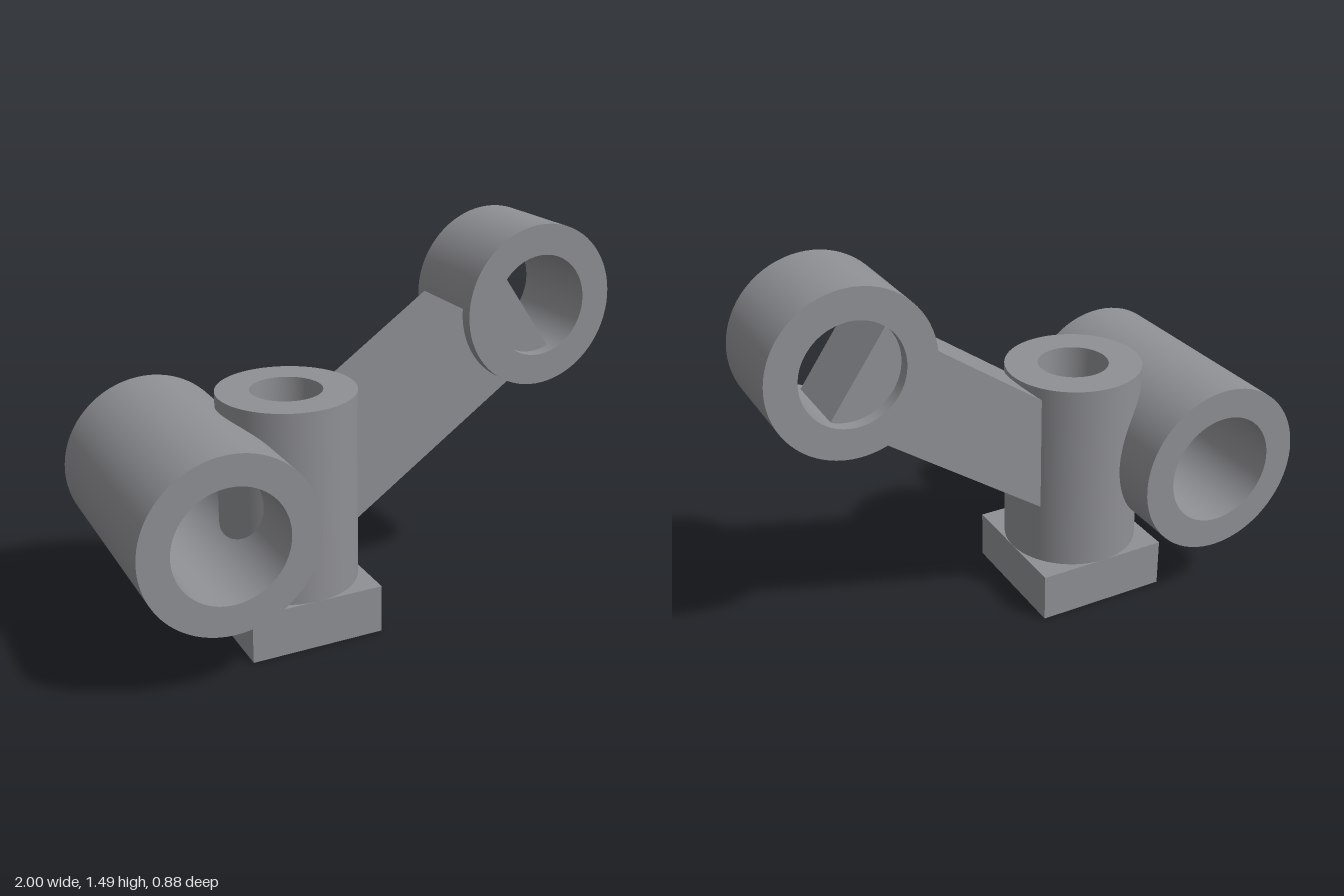
import * as THREE from 'three';
import { toCreasedNormals } from 'three/addons/utils/BufferGeometryUtils.js';

const metal = new THREE.MeshStandardMaterial({ color: 0x8f9094 });
metal.name = 'grey metal';

function part(name, geometry) {
  const mesh = new THREE.Mesh(geometry, metal);
  mesh.name = name;
  return mesh;
}

// Hollow cylinder along y, with smooth walls and sharp rims
function sleeve(outer, inner, length) {
  const h = length / 2;
  const profile = [[inner, -h], [outer, -h], [outer, h], [inner, h], [inner, -h]]
    .map(([x, y]) => new THREE.Vector2(x, y));
  return toCreasedNormals(new THREE.LatheGeometry(profile, 72), 0.6);
}

export function createModel() {
  const group = new THREE.Group();

  // Square foot, its top closing the bore of the post
  const base = part('base', new THREE.BoxGeometry(0.524, 0.19, 0.524));
  base.position.set(-0.272, 0.095, 0);

  // Upright post, open at the top
  const post = part('post', sleeve(0.262, 0.135, 0.745));
  post.position.set(-0.272, 0.5625, 0);

  // Long horizontal sleeve, overlapping the post
  const largeSleeve = part('largeSleeve', sleeve(0.333, 0.217, 0.884));
  largeSleeve.rotation.x = Math.PI / 2;
  largeSleeve.position.set(-0.667, 0.578, 0);

  // Short raised sleeve at the end of the arm
  const smallSleeve = part('smallSleeve', sleeve(0.309, 0.193, 0.384));
  smallSleeve.rotation.x = Math.PI / 2;
  smallSleeve.position.set(0.688, 1.177, 0);

  // Slanted arm from the post wall, its square end showing in the small bore
  const outline = [[-0.1, 0.4], [0.762, 1.0], [0.547, 1.307], [-0.1, 0.855]]
    .map(([x, y]) => new THREE.Vector2(x, y));
  const armGeometry = new THREE.ExtrudeGeometry(new THREE.Shape(outline), { depth: 0.288, bevelEnabled: false });
  armGeometry.translate(0, 0, -0.144);
  const arm = part('arm', armGeometry);

  group.add(base, post, largeSleeve, smallSleeve, arm);
  return group;
}
